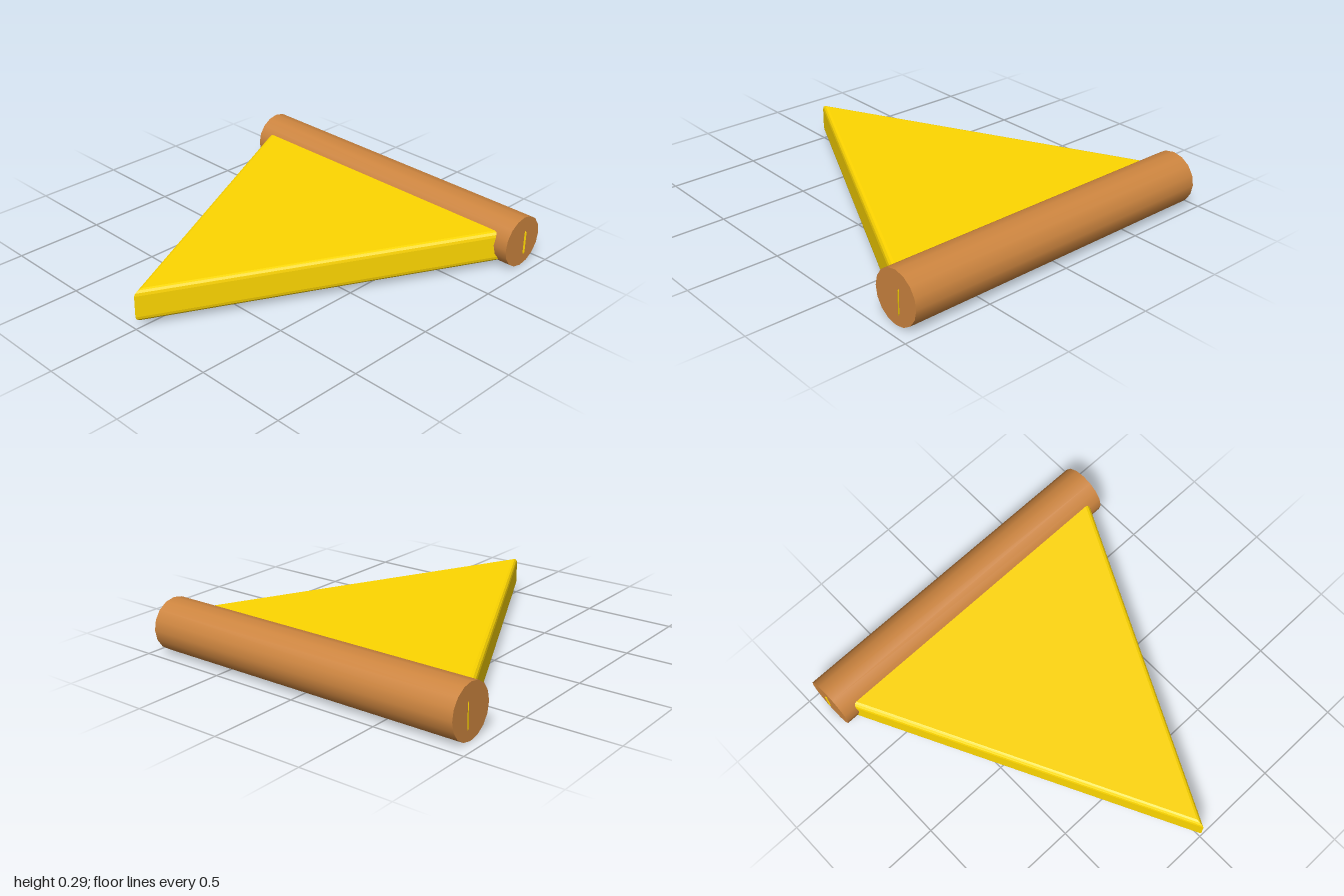
import * as THREE from 'three';

export function createModel() {
  const group = new THREE.Group();

  // Rolled crust along the back edge
  const radius = 0.143;
  const crust = new THREE.Mesh(
    new THREE.CylinderGeometry(radius, radius, 1.874, 16).rotateZ(Math.PI / 2),
    new THREE.MeshStandardMaterial({ color: 0xcd853f })
  );
  crust.name = 'crust';
  crust.position.set(0, radius + 0.001, radius - 1);
  group.add(crust);

  // Triangular wedge with softened edges; its back corners just pierce the crust ends
  const outline = new THREE.Shape([
    new THREE.Vector2(0, 0.95),
    new THREE.Vector2(-0.9, -0.856),
    new THREE.Vector2(0.9, -0.856),
  ]);
  const wedge = new THREE.Mesh(
    new THREE.ExtrudeGeometry(outline, {
      depth: 0.118,
      bevelEnabled: true,
      bevelSize: 0.035,
      bevelThickness: 0.03,
      bevelSegments: 3,
    }).rotateX(Math.PI / 2),
    new THREE.MeshStandardMaterial({ color: 0xffd700 })
  );
  wedge.name = 'wedge';
  wedge.position.y = 0.188;
  group.add(wedge);

  return group;
}
